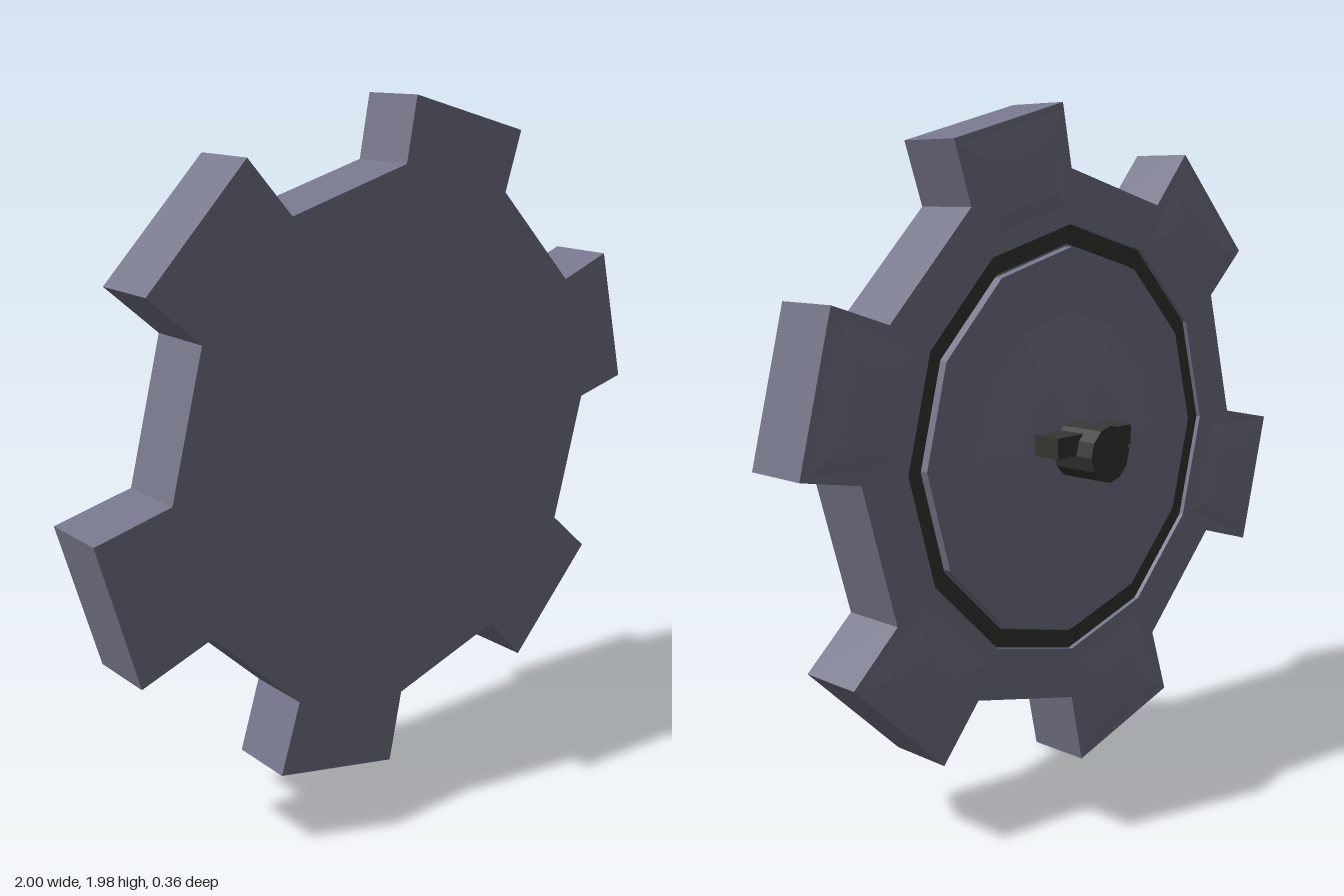
import * as THREE from 'three';

const CX = 0.015, CY = 1.01, SIDES = 12;
const BACK = -0.012, FLOOR = 0.015, FRONT = 0.18;
// Tooth direction in degrees and how far its outer edge reaches
const TEETH = [[15, 0.955], [75, 0.946], [135, 0.97], [195, 0.995], [255, 0.983], [315, 0.965]];

const metal = new THREE.MeshStandardMaterial({ color: 0x77778c, flatShading: true });
const dark = new THREE.MeshStandardMaterial({ color: 0x353732, flatShading: true });

function mesh(name, geometry, material, x = CX, y = CY, z = 0) {
  const m = new THREE.Mesh(geometry, material);
  m.name = name;
  m.position.set(x, y, z);
  return m;
}

// Regular twelve-sided outline
function polygon(r) {
  return Array.from({ length: SIDES }, (_, i) => {
    const a = (i * 2 * Math.PI) / SIDES;
    return new THREE.Vector2(r * Math.cos(a), r * Math.sin(a));
  });
}

// Twelve-sided body with a slightly flared tooth on every other side
function gearOutline() {
  const inner = polygon(0.79), points = [];
  TEETH.forEach(([deg, reach], i) => {
    const a = THREE.MathUtils.degToRad(deg);
    const corner = (v) => new THREE.Vector2(
      reach * Math.cos(a) - v * Math.sin(a),
      reach * Math.sin(a) + v * Math.cos(a));
    points.push(inner[2 * i], corner(-0.216), corner(0.216), inner[2 * i + 1]);
  });
  return new THREE.Shape(points);
}

function extrude(shape, depth) {
  return new THREE.ExtrudeGeometry(shape, { depth, bevelEnabled: false });
}

// Low stepped pad, bulging towards the back; local x points outwards along the tooth
function padGeometry(reach) {
  const rings = [
    [0.67, reach - 0.02, 0.15, 0.2, 0],
    [0.715, reach - 0.065, 0.115, 0.15, -0.01],
    [0.765, reach - 0.105, 0.08, 0.095, -0.014],
  ];
  const pos = [], idx = [];
  for (const [r0, r1, w0, w1, z] of rings) {
    pos.push(r0, -w0, z, r1, -w1, z, r1, w1, z, r0, w0, z);
  }
  for (let k = 0; k < rings.length - 1; k++) {
    for (let i = 0; i < 4; i++) {
      const a = 4 * k + i, b = 4 * k + ((i + 1) % 4);
      idx.push(a, b + 4, b, a, a + 4, b + 4);
    }
  }
  const t = 4 * (rings.length - 1);
  idx.push(t, t + 2, t + 1, t, t + 3, t + 2);
  const g = new THREE.BufferGeometry();
  g.setAttribute('position', new THREE.Float32BufferAttribute(pos, 3));
  g.setIndex(idx);
  g.computeVertexNormals();
  return g;
}

export function createModel() {
  const group = new THREE.Group();
  group.name = 'gearHatch';

  // Solid front plate, then the rear layer split by a groove
  group.add(mesh('frontPlate', extrude(gearOutline(), FRONT - FLOOR), metal, CX, CY, FLOOR));
  const rim = gearOutline();
  rim.holes.push(new THREE.Path(polygon(0.635).reverse()));
  group.add(mesh('rearRim', extrude(rim, FLOOR - BACK), metal, CX, CY, BACK));
  group.add(mesh('rearDisc', extrude(new THREE.Shape(polygon(0.57)), FLOOR - BACK), metal, CX, CY, BACK));

  // Dark floor of the groove
  const ring = new THREE.Shape(polygon(0.635));
  ring.holes.push(new THREE.Path(polygon(0.58).reverse()));
  group.add(mesh('grooveRing', extrude(ring, 0.015), dark, CX, CY, 0.002));

  // Raised pads on the teeth
  for (const [deg, reach] of TEETH) {
    const pad = mesh('toothPad', padGeometry(reach), metal, CX, CY, BACK);
    pad.rotation.z = THREE.MathUtils.degToRad(deg);
    group.add(pad);
  }

  // Shallow faceted dome in the middle of the disc
  const profile = [[0.39, 0], [0.21, 0.024], [0, 0.027]].map(([r, h]) => new THREE.Vector2(r, h));
  const dome = new THREE.LatheGeometry(profile, SIDES).rotateX(-Math.PI / 2);
  group.add(mesh('centreDome', dome, metal, CX + 0.01, CY - 0.005, BACK));

  // Knob with a crossbar
  const knob = new THREE.CylinderGeometry(0.083, 0.083, 0.15, SIDES).rotateX(-Math.PI / 2);
  group.add(mesh('knob', knob, dark, 0.037, 1.0, -0.105));
  group.add(mesh('crossbar', new THREE.BoxGeometry(0.32, 0.06, 0.09), dark, 0.037, 1.03, -0.078));

  return group;
}
